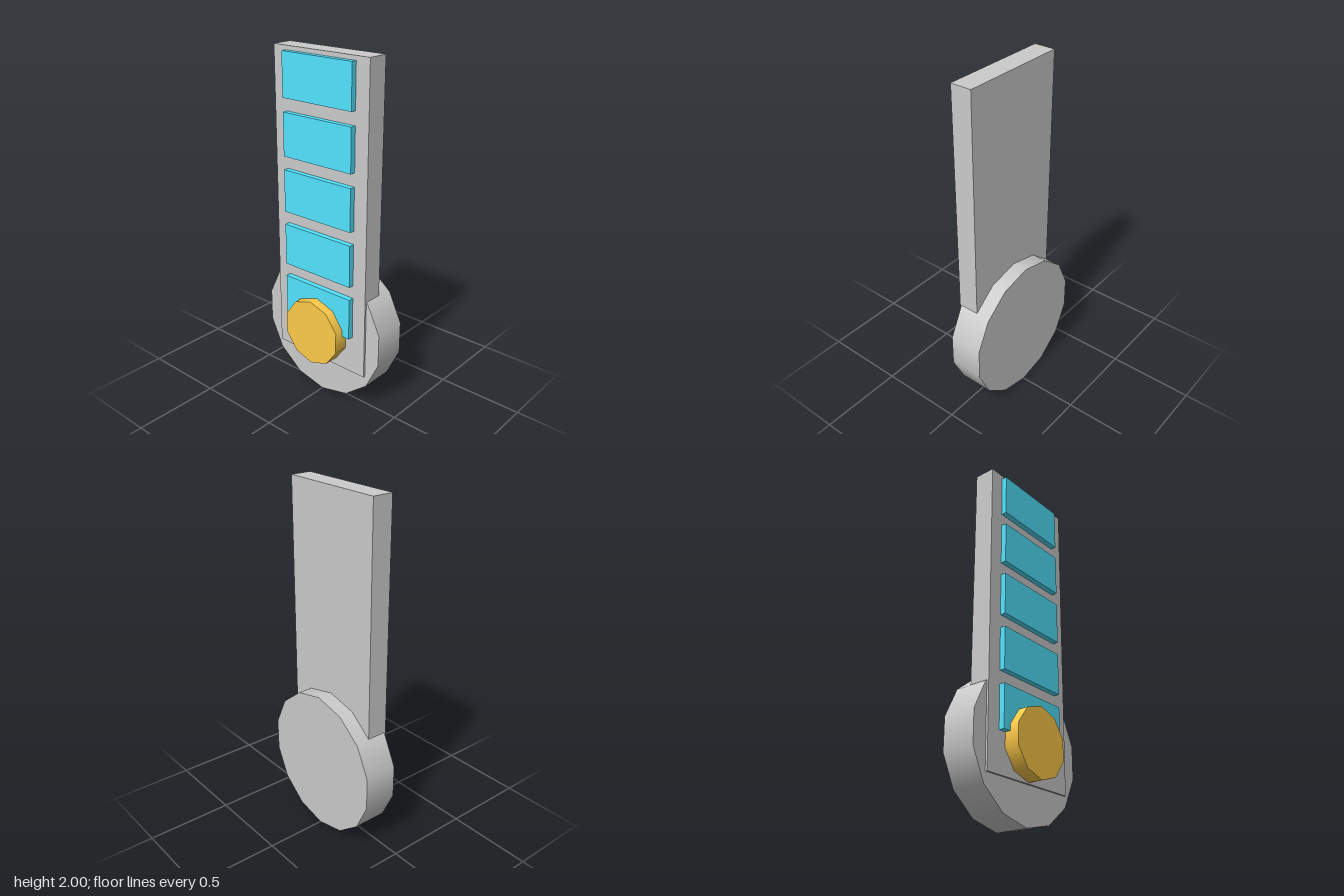
import * as THREE from 'three';

const grey = new THREE.MeshStandardMaterial({ color: 0xcccccc });
const gold = new THREE.MeshStandardMaterial({ color: 0xffcc4a });
const cyan = new THREE.MeshStandardMaterial({ color: 0x52e4ff });

// Box given by its x and y limits, centred on z = 0
function slab(name, x0, x1, y0, y1, depth, material) {
  const mesh = new THREE.Mesh(new THREE.BoxGeometry(x1 - x0, y1 - y0, depth), material);
  mesh.position.set((x0 + x1) / 2, (y0 + y1) / 2, 0);
  mesh.name = name;
  return mesh;
}

// Disc lying across the x axis, with a corner at its top and bottom
function disc(name, x0, x1, y, radius, sides, material) {
  const geometry = new THREE.CylinderGeometry(radius, radius, x1 - x0, sides, 1, false, Math.PI / 2);
  geometry.rotateZ(Math.PI / 2);
  const mesh = new THREE.Mesh(geometry, material);
  mesh.position.set((x0 + x1) / 2, y, 0);
  mesh.name = name;
  return mesh;
}

export function createModel() {
  const model = new THREE.Group();
  model.name = 'model';

  // Round base and the upright bar sunk into it
  model.add(disc('baseDisc', -0.05, 0.147, 0.421, 0.421, 14, grey));
  model.add(slab('bar', -0.062, 0.06, 0.22, 2, 0.64, grey));

  // Row of panels down the right face of the bar
  for (let i = 0; i < 5; i++) {
    const top = 1.976 - i * 0.321;
    model.add(slab('panel' + (i + 1), -0.094, -0.06, top - 0.245, top, 0.47, cyan));
  }

  // Knob over the lowest panel
  model.add(disc('knob', -0.148, -0.055, 0.423, 0.197, 10, gold));

  return model;
}
